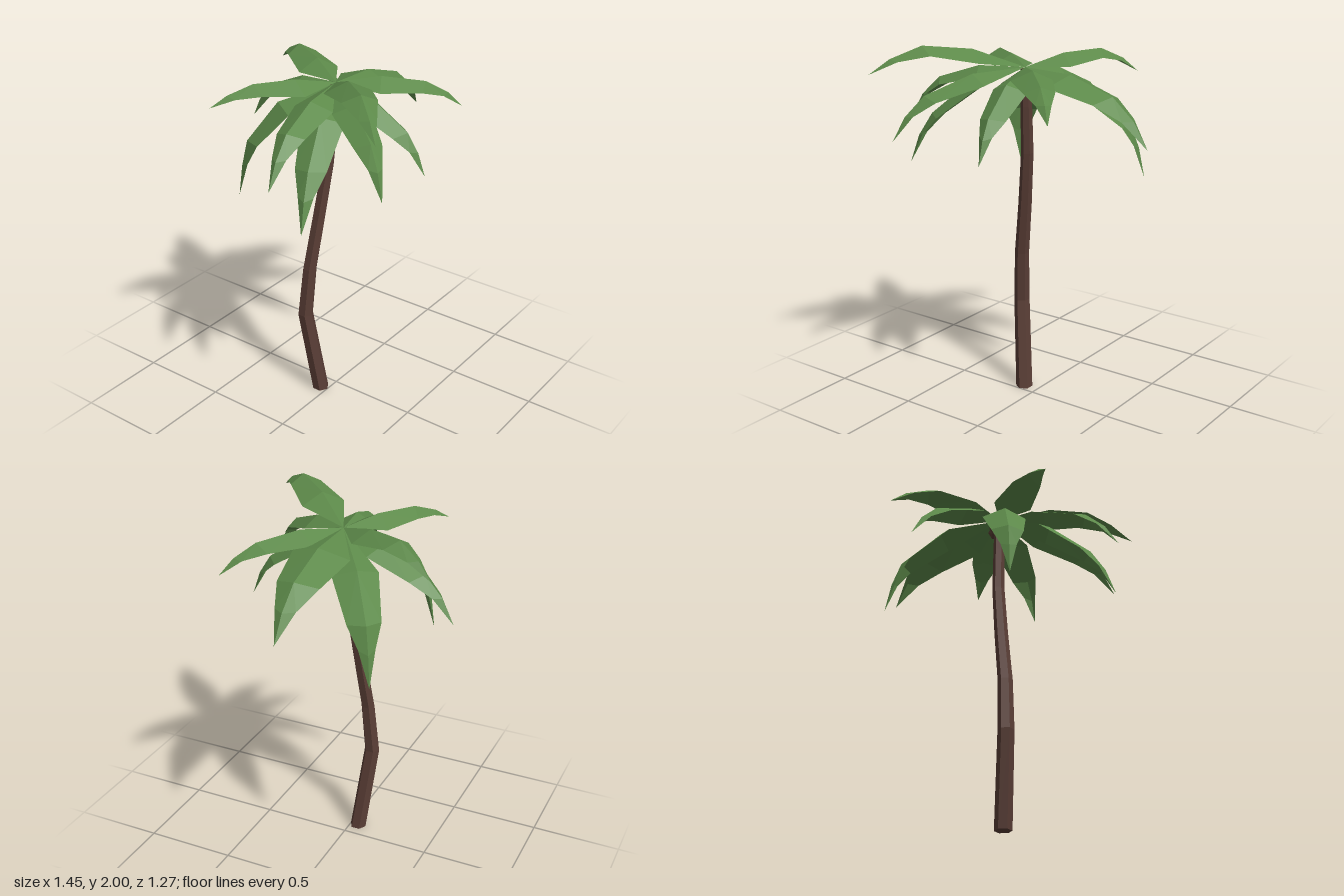
import * as THREE from 'three';

const CROWN = new THREE.Vector3(-0.03, 1.87, 0.02);

// tip x, y, z; then (fraction outwards, height) of the two bends; half width
const FRONDS = [
  [0.09, 1.5, -0.64, 0.38, 1.84, 0.74, 1.73, 0.11],
  [0.29, 1.8, -0.585, 0.33, 1.93, 0.66, 1.94, 0.11],
  [0.485, 1.27, -0.36, 0.53, 1.77, 0.87, 1.57, 0.12],
  [0.725, 1.53, 0.03, 0.38, 1.86, 0.72, 1.775, 0.16],
  [0.445, 1.7, 0.49, 0.35, 1.89, 0.7, 1.85, 0.11],
  [0.05, 1.45, 0.52, 0.42, 1.81, 0.8, 1.67, 0.1],
  [-0.45, 1.52, 0.6, 0.4, 1.85, 0.76, 1.75, 0.1],
  [-0.565, 1.86, 0.635, 0.34, 1.975, 0.66, 2.0, 0.12],
  [-0.635, 1.32, 0.26, 0.45, 1.79, 0.8, 1.6, 0.11],
  [-0.725, 1.55, 0.14, 0.39, 1.86, 0.74, 1.78, 0.105],
  [-0.57, 1.81, -0.355, 0.33, 1.91, 0.66, 1.91, 0.11],
  [-0.355, 1.25, -0.375, 0.58, 1.77, 0.9, 1.56, 0.12],
];

// Share of the half width, and drop of the edges, at each bend of a frond
const TAPER = [0, 1, 0.73, 0.36, 0];
const DROP = [0, 0.055, 0.045, 0.025, 0];

// Centre x, y, z and radius of each trunk ring
const TRUNK = [
  [-0.09, 0, -0.046, 0.047],
  [-0.148, 0.51, -0.104, 0.044],
  [-0.131, 0.8, -0.083, 0.04],
  [-0.087, 1.1, -0.053, 0.037],
  [-0.048, 1.4, -0.021, 0.034],
  [-0.036, 1.66, 0.003, 0.031],
  [-0.03, 1.86, 0.015, 0.027],
];

// Unshared corners keep every facet flat
function facetGeometry(points) {
  const geometry = new THREE.BufferGeometry().setFromPoints(points);
  geometry.computeVertexNormals();
  return geometry;
}

// Leaf folded along its midrib, pointed at both ends
function frondGeometry([x, y, z, t1, y1, t2, y2, width]) {
  const tip = new THREE.Vector3(x, y, z);
  const bend = (t, h) => new THREE.Vector3().lerpVectors(CROWN, tip, t).setY(h);
  // The last stretch curls over before the tip
  const curl = bend(t2 + (1 - t2) * 0.6, y2 + (y - y2) * 0.45);
  const rib = [CROWN, bend(t1, y1), bend(t2, y2), curl, tip];
  const last = rib.length - 1;
  const side = new THREE.Vector3(CROWN.z - z, 0, x - CROWN.x).normalize();
  const edge = (i, s) => {
    if (i === 0 || i === last) return rib[i];
    const along = rib[i + 1].clone().sub(rib[i - 1]).normalize();
    const up = side.clone().cross(along).normalize();
    return rib[i].clone()
      .addScaledVector(side, s * width * TAPER[i])
      .addScaledVector(up, -DROP[i])
      .addScaledVector(along, -0.025);
  };
  const points = [];
  for (const s of [-1, 1]) {
    for (let i = 0; i < last; i++) {
      const [a, b, c, d] = [rib[i], rib[i + 1], edge(i + 1, s), edge(i, s)];
      const faces = [];
      if (i < last - 1) faces.push([a, b, c]);
      if (i > 0) faces.push([a, c, d]);
      for (const f of faces) points.push(...(s < 0 ? f : f.reverse()));
    }
  }
  return facetGeometry(points);
}

// Bent, tapering six-sided trunk with capped ends
function trunkGeometry() {
  const sides = 6;
  const at = (k, j) => {
    const [x, y, z, r] = TRUNK[k];
    const a = (j / sides) * Math.PI * 2;
    return new THREE.Vector3(x + r * Math.sin(a), y, z + r * Math.cos(a));
  };
  const centre = (k) => new THREE.Vector3(...TRUNK[k].slice(0, 3));
  const last = TRUNK.length - 1;
  const points = [];
  for (let j = 0; j < sides; j++) {
    for (let k = 0; k < last; k++) {
      const [a, b, c, d] = [at(k, j), at(k, j + 1), at(k + 1, j + 1), at(k + 1, j)];
      points.push(a, b, c, a, c, d);
    }
    points.push(centre(0), at(0, j + 1), at(0, j), centre(last), at(last, j), at(last, j + 1));
  }
  return facetGeometry(points);
}

export function createModel() {
  const bark = new THREE.MeshStandardMaterial({ color: 0x5a3e36 });
  const leaf = new THREE.MeshStandardMaterial({ color: 0x5d8a4a, side: THREE.DoubleSide });

  const model = new THREE.Group();
  model.name = 'palmTree';
  const add = (name, geometry, material, parent = model) => {
    const mesh = new THREE.Mesh(geometry, material);
    mesh.name = name;
    parent.add(mesh);
    return mesh;
  };

  add('trunk', trunkGeometry(), bark);

  const crown = new THREE.Group();
  crown.name = 'fronds';
  model.add(crown);
  FRONDS.forEach((f, i) => add(`frond${i + 1}`, frondGeometry(f), leaf, crown));

  // Coconuts tucked under the crown
  const nuts = new THREE.Group();
  nuts.name = 'coconuts';
  model.add(nuts);
  [[-0.095, 1.785, 0.01], [-0.04, 1.79, -0.03], [0.005, 1.805, 0.025]].forEach((p, i) =>
    add(`coconut${i + 1}`, new THREE.IcosahedronGeometry(0.04, 0), bark, nuts).position.set(...p));

  return model;
}
